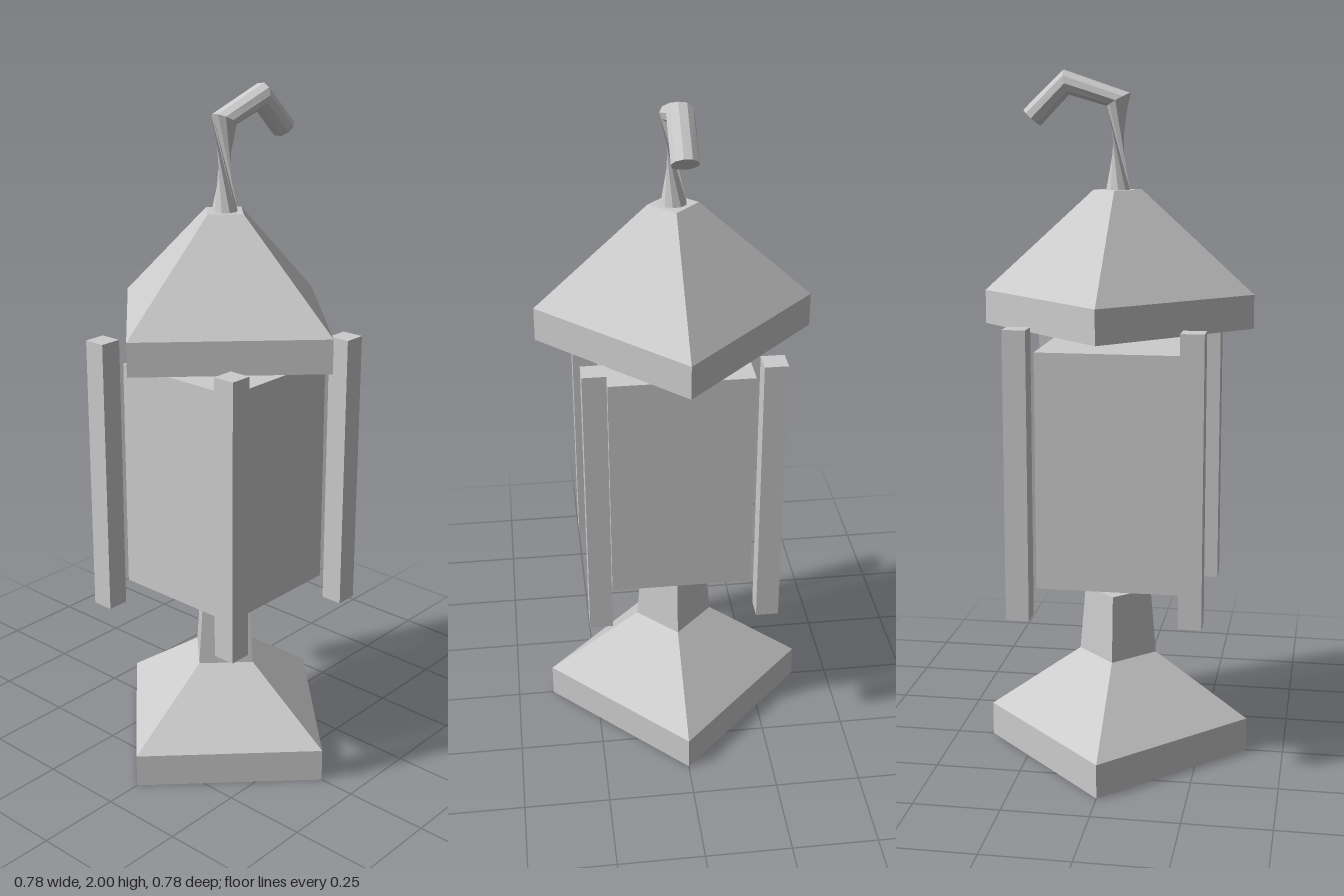
import * as THREE from 'three';

export function createModel() {
  const lantern = new THREE.Group();
  lantern.name = 'lantern';
  const grey = new THREE.MeshStandardMaterial({ color: 0xcccccc, flatShading: true, side: THREE.DoubleSide });
  grey.name = 'plain grey';

  const add = (name, geometry, x = 0, y = 0, z = 0) => {
    const mesh = new THREE.Mesh(geometry, grey);
    mesh.name = name;
    mesh.position.set(x, y, z);
    lantern.add(mesh);
  };

  // Four-sided turned shape with its corners on the x and z axes
  const turned = (profile) =>
    new THREE.LatheGeometry(profile.map(([r, y]) => new THREE.Vector2(r, y)), 4);

  // Foot with a tapered stem, closed at both ends
  add('foot', turned([[0, 0], [0.39, 0], [0.39, 0.1], [0.115, 0.297], [0.098, 0.493], [0, 0.493]]));

  // Lamp body
  add('body', new THREE.BoxGeometry(0.41, 0.685, 0.41), 0, 0.887, 0);

  // Corner posts
  for (const x of [-0.245, 0.245])
    for (const z of [-0.245, 0.245])
      add('post', new THREE.BoxGeometry(0.066, 0.83, 0.066), x, 0.886, z);

  // Hollow roof, open underneath
  add('roof', turned([[0.39, 1.28], [0.39, 1.377], [0.07, 1.668], [0, 1.668]]));

  add('hook', hookGeometry());
  return lantern;
}

// Bent hook lofted through rings; the half twist in the first span pinches its neck
function hookGeometry() {
  const sides = 10;
  // centre x, y; radius vector x, y; twist
  const rings = [
    [0, 1.668, -0.035, 0, 2.8],
    [-0.002, 1.917, -0.033, 0.018, 0],
    [0.147, 1.965, 0.008, 0.035, 0],
    [0.245, 1.868, 0.025, 0.023, 0],
  ];
  const positions = [];
  const index = [];
  for (const [cx, cy, ux, uy, twist] of rings)
    for (let j = 0; j < sides; j++) {
      const a = ((j + 0.3) / sides) * Math.PI * 2 + twist;
      positions.push(cx + ux * Math.cos(a), cy + uy * Math.cos(a), 0.037 * Math.sin(a));
    }
  for (let i = 0; i < rings.length - 1; i++)
    for (let j = 0; j < sides; j++) {
      const k = (j + 1) % sides;
      const a = i * sides + j, b = i * sides + k;
      index.push(a, b, b + sides, a, b + sides, a + sides);
    }
  // Tip cap
  const last = (rings.length - 1) * sides;
  for (let j = 1; j < sides - 1; j++) index.push(last, last + j, last + j + 1);

  const geometry = new THREE.BufferGeometry();
  geometry.setAttribute('position', new THREE.Float32BufferAttribute(positions, 3));
  geometry.setIndex(index);
  geometry.computeVertexNormals();
  return geometry;
}
